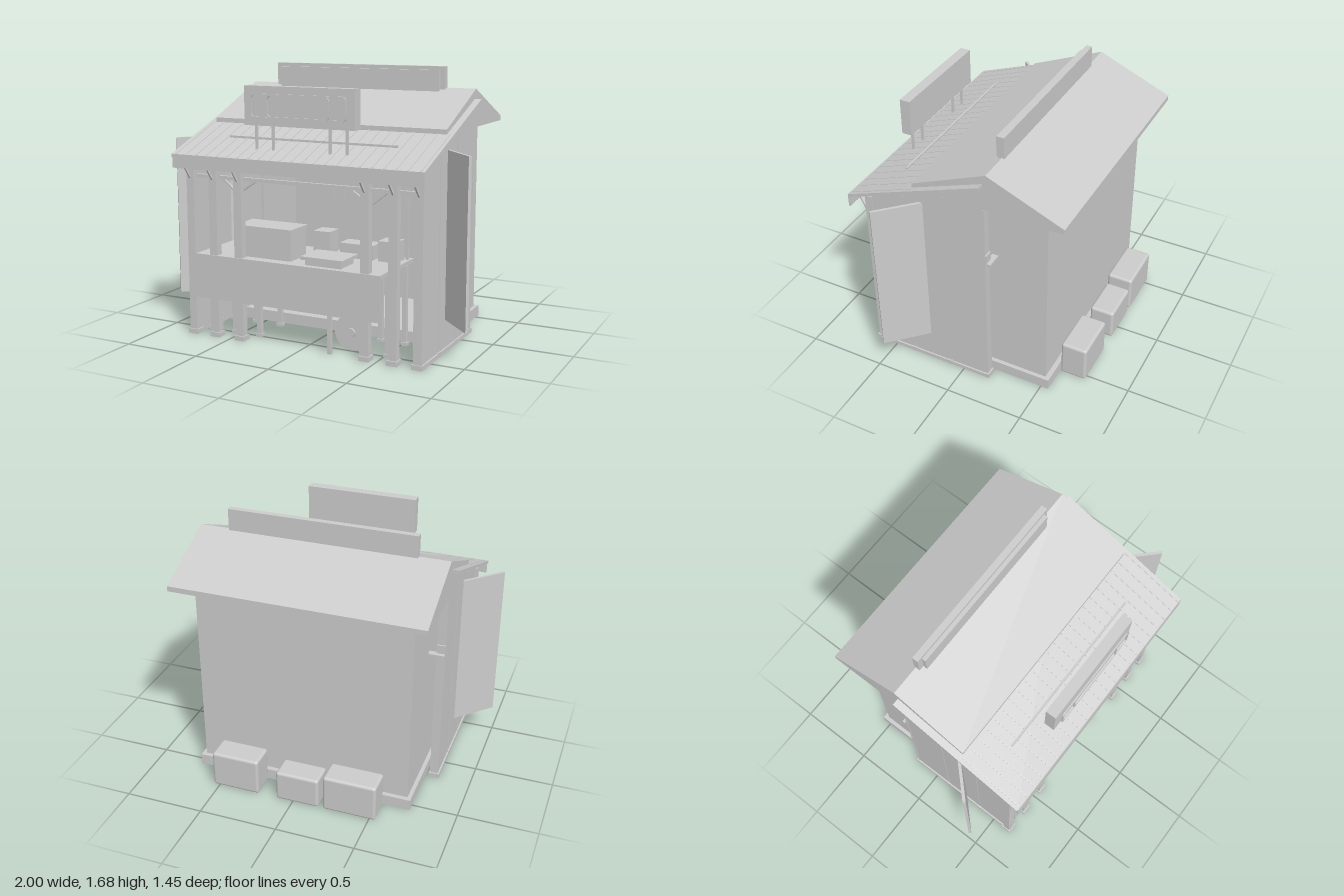
import * as THREE from 'three';
import { RoundedBoxGeometry } from 'three/addons/geometries/RoundedBoxGeometry.js';

export function createModel() {
  const root = new THREE.Group();
  root.name = 'marketStall';
  const grey = new THREE.MeshStandardMaterial({ color: 0xcccccc });
  grey.name = 'plain grey';

  const add = (name, geometry) => {
    const mesh = new THREE.Mesh(geometry, grey);
    mesh.name = name;
    root.add(mesh);
    return mesh;
  };
  // Box given by its limits on each axis
  const box = (name, x0, x1, y0, y1, z0, z1) => {
    const m = add(name, new THREE.BoxGeometry(x1 - x0, y1 - y0, z1 - z0));
    m.position.set((x0 + x1) / 2, (y0 + y1) / 2, (z0 + z1) / 2);
    return m;
  };
  // Outline in (z, y) pushed along x
  const slab = (name, points, x0, x1) => {
    const shape = new THREE.Shape(points.map(p => new THREE.Vector2(p[0], p[1])));
    const g = new THREE.ExtrudeGeometry(shape, { depth: x1 - x0, bevelEnabled: false });
    g.rotateY(-Math.PI / 2).translate(x1, 0, 0);
    return add(name, g);
  };
  // Square bar between two points
  const bar = (name, a, b, w) => {
    const p = new THREE.Vector3(...a), q = new THREE.Vector3(...b);
    const m = add(name, new THREE.BoxGeometry(w, w, p.distanceTo(q)));
    m.position.copy(p).add(q).multiplyScalar(0.5);
    m.lookAt(q);
    return m;
  };

  // Back house: floor slab and hollow walls
  box('foundation', -0.71, 0.71, 0, 0.07, -0.55, 0.19);
  box('backWall', -0.685, 0.685, 0.07, 1.31, -0.52, -0.49);
  for (const s of [-1, 1]) {
    const xa = s * 0.685, xb = s * 0.66;
    box('houseSideWall', Math.min(xa, xb), Math.max(xa, xb), 0.07, 1.31, -0.49, 0.19);
  }

  // Main gable roof with a flat underside
  slab('mainRoof', [[-0.665, 1.31], [0.295, 1.31], [0.295, 1.342], [-0.186, 1.546], [-0.665, 1.343]], -0.795, 0.79);

  // Lean-to roof over the counter, with shallow ribs
  const roofY = z => 1.155 + (0.72 - z) * 0.373;
  slab('frontRoof', [[0.72, 1.135], [0.72, 1.155], [-0.165, roofY(-0.165)], [-0.165, roofY(-0.165) - 0.02]], -0.84, 0.833);
  for (let i = 0; i <= 22; i++) {
    const x = -0.81 + i * 0.0735;
    slab('roofRib', [[0.715, roofY(0.715)], [0.715, roofY(0.715) + 0.003], [0.29, roofY(0.29) + 0.003], [0.29, roofY(0.29)]], x - 0.004, x + 0.004);
  }
  box('roofBar', -0.57, 0.565, 1.243, 1.257, 0.47, 0.482);
  box('fascia', -0.833, 0.833, 1.07, 1.155, 0.714, 0.724);

  // Side walls, seam strips, feet and pivoting shutters
  for (const s of [-1, 1]) {
    const span = (name, a, b, ...r) => box(name, Math.min(s * a, s * b), Math.max(s * a, s * b), ...r);
    const x0 = s > 0 ? 0.745 : -0.785;
    slab('sideWall', [[-0.165, 0.025], [0.635, 0.025], [0.635, 1.155], [-0.165, 1.46]], x0, x0 + 0.04);
    span('sideSill', 0.745, 0.795, 0, 0.025, -0.17, 0.635);
    for (const z of [-0.165, 0.1, 0.365]) {
      span('sidePost', 0.735, 0.788, 0, z > 0.2 ? 1.23 : 1.305, z - 0.005, z + 0.005);
      span('sideFoot', 0.73, 0.797, 0, 0.03, z - 0.015, z + 0.015);
    }
    span('sideBracket', 0.69, 0.79, 0.91, 0.925, -0.205, -0.165);
    span('sideCatch', 0.735, 0.79, 0.925, 0.98, -0.18, -0.165);
    span('wallLatch', 0.67, 0.70, 0.32, 0.375, 0.19, 0.21);
    const shutter = add('shutter', new THREE.BoxGeometry(0.43, 1.02, 0.018));
    shutter.position.set(s * 0.842, 0.71, 0.305);
    shutter.rotation.y = -s * Math.PI / 4;
  }

  // Front posts with feet and eave braces
  for (const x of [-0.77, -0.607, -0.428, 0.428, 0.607, 0.765]) {
    box('frontPost', x - 0.027, x + 0.027, 0, 1.15, 0.585, 0.633);
    box('frontFoot', x - 0.034, x + 0.034, 0, 0.03, 0.575, 0.642);
    bar('eaveBrace', [x, 1.0, 0.63], [x - 0.015, 1.13, 0.71], 0.012);
  }
  box('headerBeam', -0.74, 0.74, 1.0, 1.022, 0.585, 0.605);

  // Counter, its legs and the floor sills running back from them
  box('counterPanel', -0.745, 0.535, 0.245, 0.525, 0.633, 0.64);
  box('counterTop', -0.735, 0.53, 0.5, 0.525, 0.15, 0.633);
  for (const x of [-0.71, -0.54, -0.36, 0.36, 0.52]) {
    for (const z of [0.25, 0.5]) {
      box('counterLeg', x - 0.014, x + 0.014, 0, 0.5, z - 0.014, z + 0.014);
      box('counterFoot', x - 0.02, x + 0.02, 0, 0.02, z - 0.02, z + 0.02);
    }
  }
  for (const s of [-1, 1]) {
    box('innerUpright', s * 0.51 - 0.008, s * 0.51 + 0.008, 0.525, 1.0, 0.19, 0.206);
    bar('innerBrace', [s * 0.43, 0.93, 0.595], [s * 0.31, 1.01, 0.595], 0.014);
    bar('outerBrace', [s * 0.46, 0.93, 0.595], [s * 0.56, 1.01, 0.595], 0.014);
  }
  box('innerHeader', -0.685, 0.685, 0.99, 1.01, 0.18, 0.2);

  // Goods on the counter
  box('largeCrate', -0.475, -0.095, 0.525, 0.7, 0.38, 0.57);
  box('crateLid', -0.483, -0.087, 0.7, 0.72, 0.372, 0.578);
  box('smallCrate', -0.09, 0.025, 0.525, 0.665, 0.17, 0.29);
  box('trayBase', 0.02, 0.26, 0.525, 0.56, 0.43, 0.6);
  box('trayTop', 0, 0.28, 0.56, 0.58, 0.41, 0.62);
  box('lowBox', 0.11, 0.335, 0.525, 0.615, 0.2, 0.32);
  box('cornerBox', 0.37, 0.49, 0.525, 0.65, 0.2, 0.32);

  // Shelf and hanging tools on the back wall
  box('wallShelf', -0.55, 0.55, 0.865, 0.885, -0.49, -0.36);
  for (const x of [-0.32, -0.235, 0.225, 0.31]) box('hangingTool', x - 0.008, x + 0.008, 0.75, 0.865, -0.42, -0.404);

  // Wheel stored under the counter
  const wheel = add('wheel', new THREE.CylinderGeometry(0.112, 0.112, 0.035, 32));
  const hub = add('wheelHub', new THREE.CylinderGeometry(0.027, 0.027, 0.06, 20));
  for (const m of [wheel, hub]) {
    m.rotation.x = Math.PI / 2;
    m.position.set(0.28, 0.115, 0.48);
  }
  box('standLeg', 0.175, 0.2, 0, 0.25, 0.59, 0.615);

  // Ridge sign
  box('ridgeSign', -0.6, 0.595, 1.5, 1.678, -0.2, -0.16);
  box('ridgeSignFace', -0.565, 0.565, 1.5, 1.655, -0.16, -0.135);

  // Front sign on four legs with two rounded frames
  box('frontSign', -0.37, 0.365, 1.345, 1.58, 0.557, 0.624);
  for (const x of [-0.305, -0.19, 0.19, 0.3]) box('signLeg', x - 0.007, x + 0.007, 1.19, 1.345, 0.587, 0.601);
  const rounded = (path, w, h, r) => {
    path.moveTo(-w + r, -h);
    path.lineTo(w - r, -h).quadraticCurveTo(w, -h, w, -h + r);
    path.lineTo(w, h - r).quadraticCurveTo(w, h, w - r, h);
    path.lineTo(-w + r, h).quadraticCurveTo(-w, h, -w, h - r);
    path.lineTo(-w, -h + r).quadraticCurveTo(-w, -h, -w + r, -h);
    return path;
  };
  for (const [w, h] of [[0.318, 0.073], [0.207, 0.07]]) {
    const ring = rounded(new THREE.Shape(), w, h, 0.03);
    ring.holes.push(rounded(new THREE.Path(), w - 0.009, h - 0.009, 0.024));
    const m = add('signFrame', new THREE.ExtrudeGeometry(ring, { depth: 0.009, bevelEnabled: false }));
    m.position.set(-0.002, 1.463, 0.635);
  }

  // Soft-edged bins behind the house
  for (const [x0, x1, h, z1] of [[-0.54, -0.2, 0.24, -0.555], [-0.17, 0.11, 0.2, -0.565], [0.23, 0.54, 0.24, -0.555]]) {
    const m = add('bin', new RoundedBoxGeometry(x1 - x0, h, z1 + 0.725, 3, 0.018));
    m.position.set((x0 + x1) / 2, h / 2, (z1 - 0.725) / 2);
  }
  return root;
}
